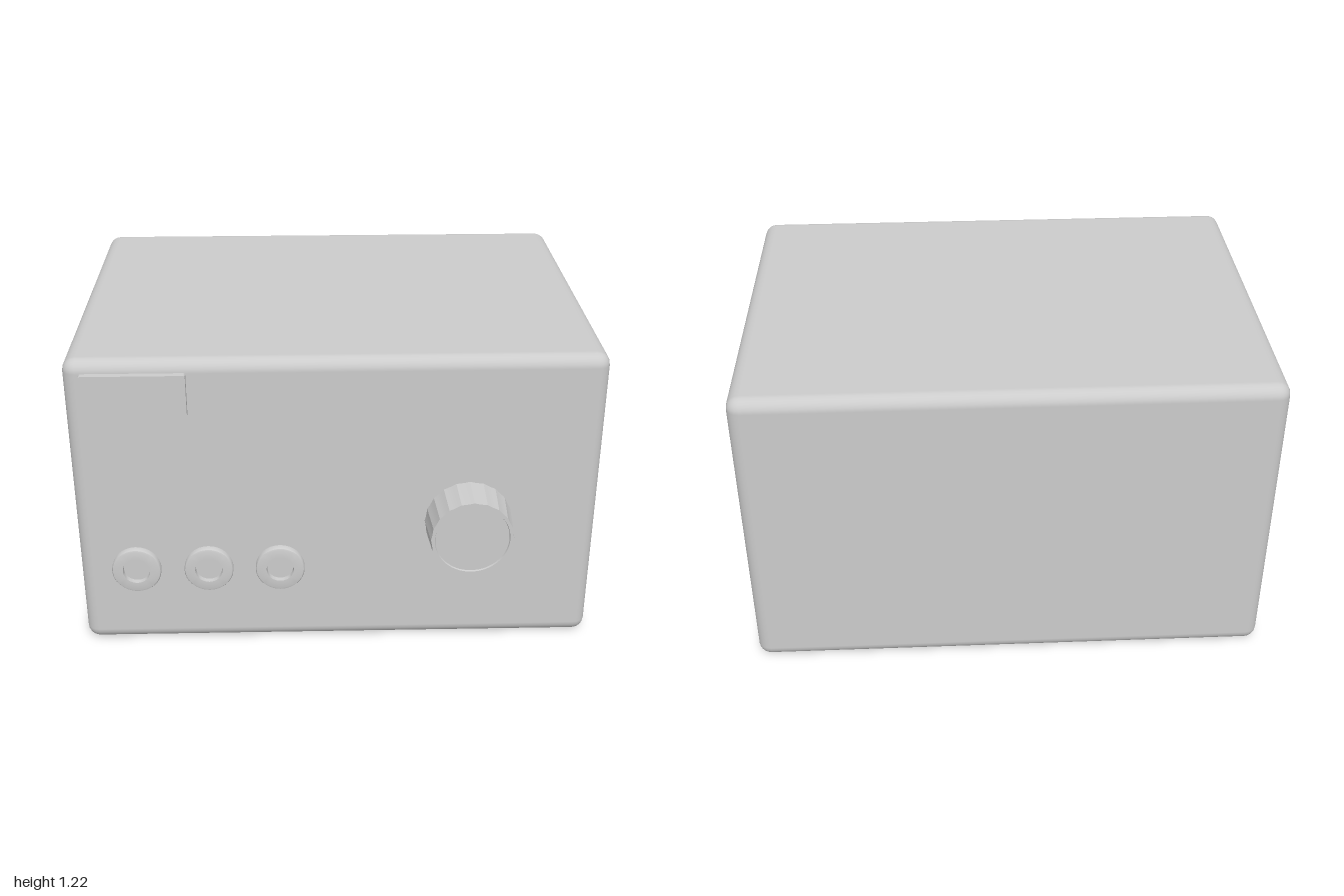
import * as THREE from 'three';
import { RoundedBoxGeometry } from 'three/addons/geometries/RoundedBoxGeometry.js';
import { toCreasedNormals } from 'three/addons/utils/BufferGeometryUtils.js';

const FRONT = 0.66; // z of the front panel
const grey = new THREE.MeshStandardMaterial({ color: 0xcccccc });

function addPart(group, name, geometry, x, y, z) {
  const mesh = new THREE.Mesh(geometry, grey);
  mesh.name = name;
  mesh.position.set(x, y, z);
  group.add(mesh);
  return mesh;
}

// Turned profile of [radius, depth] pairs whose axis points to the front
function turned(profile, segments) {
  const points = profile.map(([r, d]) => new THREE.Vector2(r, d));
  return new THREE.LatheGeometry(points, segments).rotateX(Math.PI / 2);
}

// Tapered knob with shallow grip flutes and a slightly recessed cap
function knobGeometry() {
  const flutes = 20;
  const geometry = turned([
    [0.168, -0.01], [0.157, 0.145], [0.152, 0.145], [0.142, 0.145], [0.14, 0.138], [0, 0.138],
  ], flutes * 3);
  const pos = geometry.attributes.position;
  for (let i = 0; i < pos.count; i++) {
    const x = pos.getX(i), y = pos.getY(i);
    if (Math.hypot(x, y) < 0.155) continue;
    const k = 1 - 0.012 * (1 - Math.cos(Math.atan2(y, x) * flutes));
    pos.setXY(i, x * k, y * k);
  }
  return toCreasedNormals(geometry, 0.3);
}

// Thin plate with rounded corners
function plateGeometry(w, h, depth, r) {
  const s = new THREE.Shape();
  const x = w / 2, y = h / 2;
  s.moveTo(-x + r, -y).lineTo(x - r, -y).quadraticCurveTo(x, -y, x, -y + r)
    .lineTo(x, y - r).quadraticCurveTo(x, y, x - r, y)
    .lineTo(-x + r, y).quadraticCurveTo(-x, y, -x, y - r)
    .lineTo(-x, -y + r).quadraticCurveTo(-x, -y, -x + r, -y);
  return new THREE.ExtrudeGeometry(s, { depth, bevelEnabled: false, curveSegments: 4 });
}

export function createModel() {
  const model = new THREE.Group();
  model.name = 'controlBox';

  // Rounded housing
  const height = 1.215, depth = FRONT + 0.8;
  addPart(model, 'housing', new RoundedBoxGeometry(2, height, depth, 3, 0.05),
    0, height / 2, FRONT - depth / 2);

  // Label plate in the upper corner
  addPart(model, 'labelPlate', plateGeometry(0.385, 0.17, 0.035, 0.008), -0.743, 1.082, FRONT - 0.01);

  // Row of three sockets
  const socket = toCreasedNormals(turned([
    [0.095, -0.01], [0.095, 0.018], [0.092, 0.023], [0.086, 0.025],
    [0.053, 0.025], [0.051, 0.006], [0, 0.006],
  ], 32), 0.6);
  [-0.78, -0.5, -0.223].forEach((x, i) => addPart(model, `socket${i + 1}`, socket, x, 0.338, FRONT));

  // Large dial
  addPart(model, 'knob', knobGeometry(), 0.503, 0.535, FRONT);

  return model;
}
